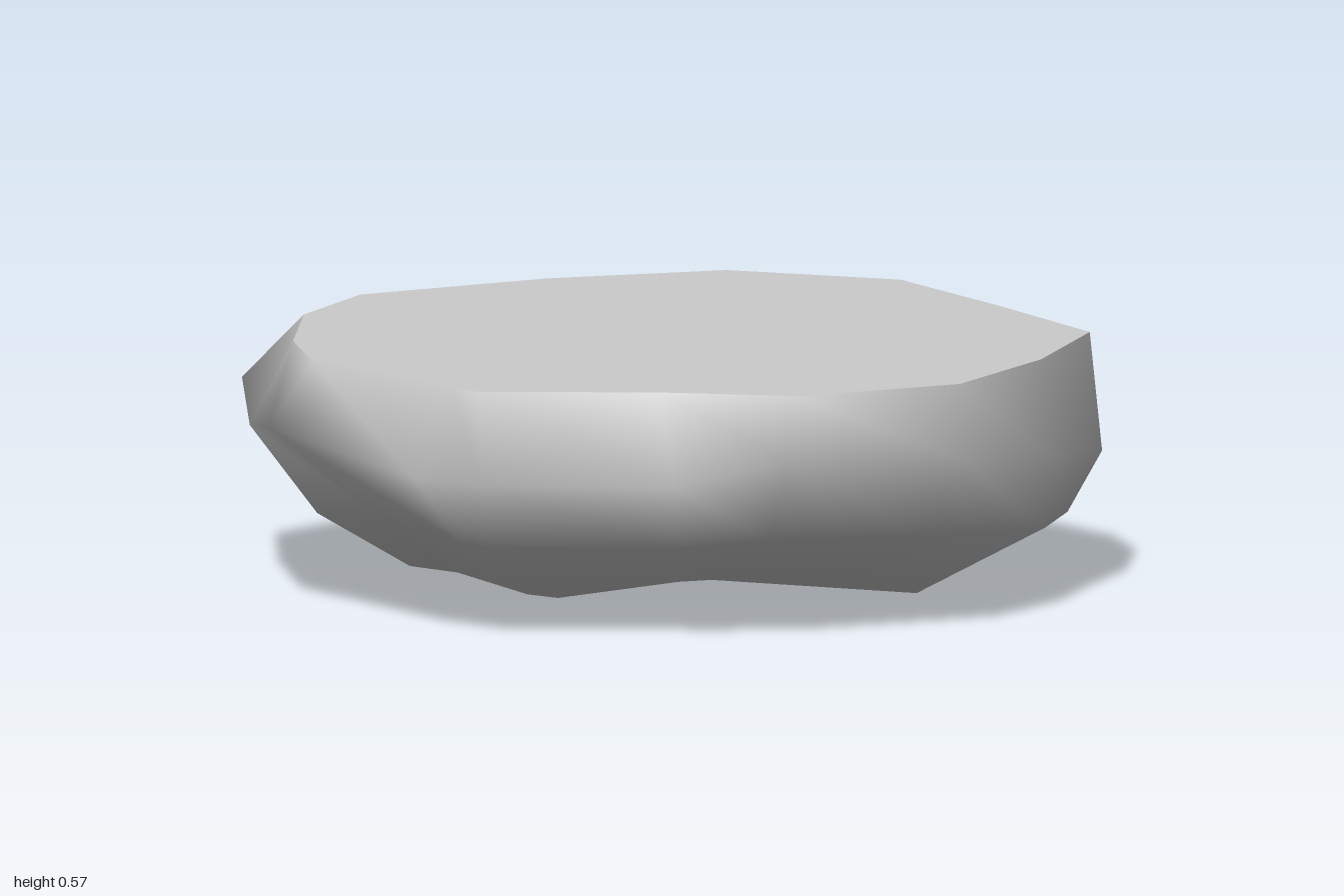
import * as THREE from 'three';

// One row per column round the rock, clockwise from the back seen from above:
// top rim x z | widest point x y z | shoulder scale, y | foot scale, y
const COLUMNS = [
  [-0.09, -0.93, -0.01, 0.40, -1.00, 0.85, 0.18, 0.58, 0.01],
  [0.32, -0.78, 0.48, 0.40, -0.87, 0.86, 0.19, 0.60, 0.01],
  [0.71, -0.62, 0.77, 0.31, -0.59, 0.92, 0.17, 0.62, 0.01],
  [0.87, -0.25, 0.90, 0.36, -0.24, 0.99, 0.19, 0.65, 0.02],
  [0.95, 0.14, 1.00, 0.41, 0.19, 0.86, 0.22, 0.58, 0.07],
  [0.78, 0.50, 0.81, 0.43, 0.58, 0.84, 0.23, 0.56, 0.10],
  [0.50, 0.66, 0.60, 0.37, 0.73, 0.85, 0.21, 0.56, 0.09],
  [0.18, 0.91, 0.20, 0.36, 0.92, 0.95, 0.21, 0.60, 0.05],
  [0.09, 0.90, 0.06, 0.37, 0.99, 0.82, 0.20, 0.56, 0.05],
  [-0.39, 0.80, -0.46, 0.42, 0.87, 0.73, 0.20, 0.53, 0.06],
  [-0.60, 0.61, -0.75, 0.36, 0.58, 0.84, 0.16, 0.62, 0.04],
  [-0.82, 0.30, -1.00, 0.41, 0.30, 0.89, 0.24, 0.63, 0.04],
  [-0.90, 0.00, -1.00, 0.41, 0.00, 0.89, 0.24, 0.63, 0.03],
  [-0.72, -0.44, -0.82, 0.36, -0.53, 0.90, 0.18, 0.60, 0.05],
  [-0.48, -0.79, -0.57, 0.40, -0.85, 0.84, 0.13, 0.56, 0.02],
];
const TOP = 0.57;

function makeMesh(name, points, faces) {
  const geometry = new THREE.BufferGeometry();
  geometry.setAttribute('position', new THREE.Float32BufferAttribute(points.flat(), 3));
  geometry.setIndex(faces);
  geometry.computeVertexNormals();
  const mesh = new THREE.Mesh(geometry, new THREE.MeshStandardMaterial({ color: 0xcccccc }));
  mesh.name = name;
  return mesh;
}

export function createModel() {
  const group = new THREE.Group();
  group.name = 'flatRock';
  const n = COLUMNS.length;

  // Rings from the rim down to the underside
  const rim = COLUMNS.map(([x, z]) => [x, TOP, z]);
  const widest = COLUMNS.map((c) => [c[2], c[3], c[4]]);
  const shoulder = COLUMNS.map((c) => [c[2] * c[5], c[6], c[4] * c[5]]);
  const foot = COLUMNS.map((c) => [c[2] * c[7], c[8], c[4] * c[7]]);
  const rings = [rim, widest, shoulder, foot];

  // Rounded sides and underside, smooth shaded
  const faces = [];
  for (let r = 0; r < rings.length - 1; r++) {
    for (let i = 0; i < n; i++) {
      const j = (i + 1) % n;
      const a = r * n + i, b = r * n + j;
      faces.push(a, b, a + n, b, b + n, a + n);
    }
  }
  const last = (rings.length - 1) * n;
  const centre = rings.length * n;
  for (let i = 0; i < n; i++) faces.push(centre, last + i, last + ((i + 1) % n));
  group.add(makeMesh('rockBody', [...rings.flat(), [0, 0, -0.1]], faces));

  // Flat cut top with a sharp rim
  const cap = [];
  for (let i = 0; i < n; i++) cap.push(n, (i + 1) % n, i);
  group.add(makeMesh('flatTop', [...rim, [0, TOP, 0]], cap));
  return group;
}
